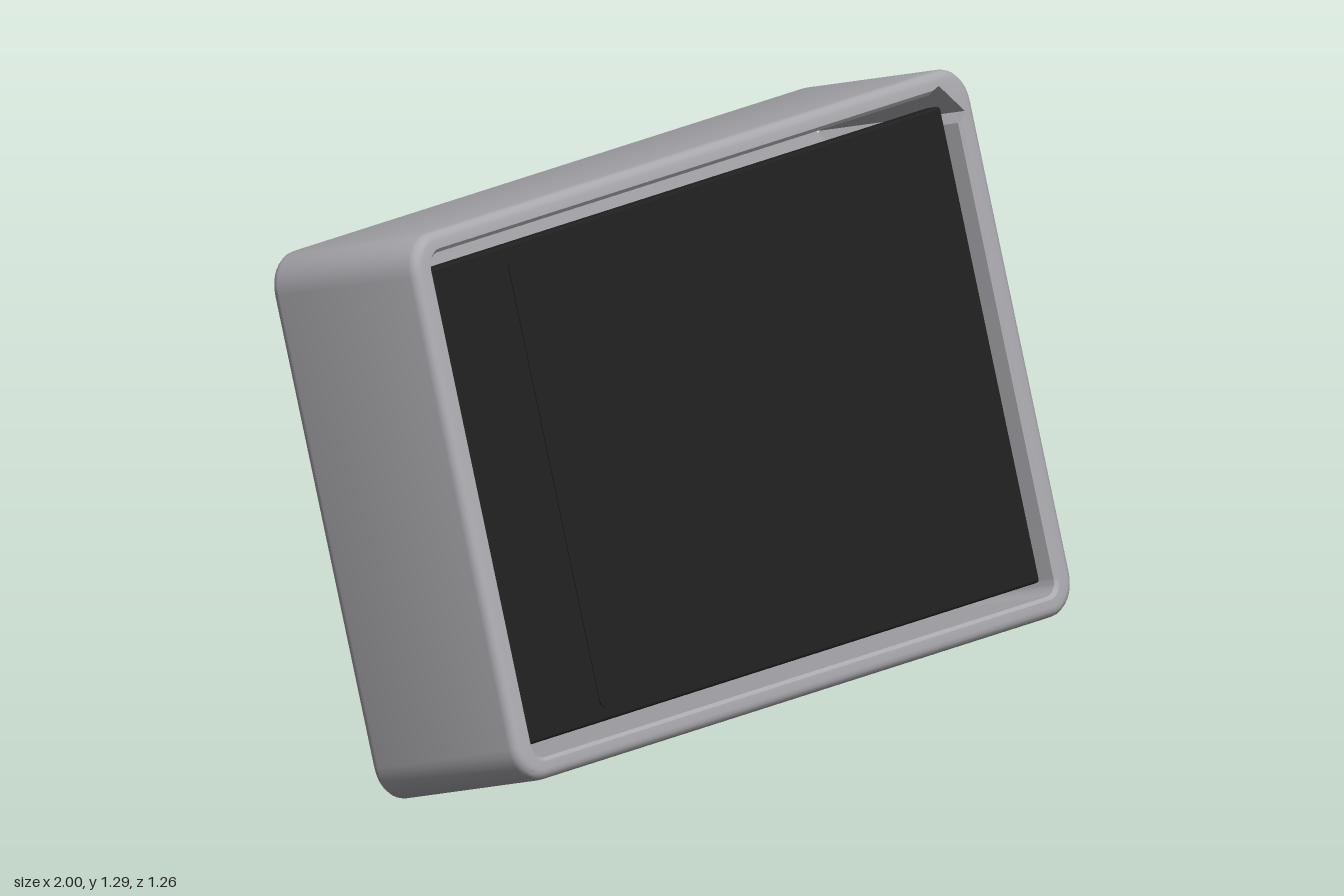
import * as THREE from 'three';
import { toCreasedNormals } from 'three/addons/utils/BufferGeometryUtils.js';
import { RoundedBoxGeometry } from 'three/addons/geometries/RoundedBoxGeometry.js';

const TILT = -Math.PI / 12;
const HW = 1, HH = 0.6175, HD = 0.21; // case half sizes
const NOTCH_A = [0.962, 0.514], NOTCH_B = [0.884, 0.592]; // outer corners of the diagonal slot

const mat = (name, color, side = THREE.FrontSide) => {
  const m = new THREE.MeshStandardMaterial({ color, side });
  m.name = name;
  return m;
};

// Counter-clockwise rounded rectangle; optionally its +x +y corner becomes a diagonal notch
function ringPoints(hw, hh, r, notch = false, seg = 8) {
  const pts = [];
  [[1, 1], [-1, 1], [-1, -1], [1, -1]].forEach(([sx, sy], q) => {
    for (let i = 0; i <= seg; i++) {
      if (notch && q === 0) {
        const t = (i - 1) / (seg - 2);
        if (i === 0) pts.push([hw, NOTCH_A[1] - (NOTCH_A[0] - hw)]);
        else if (i === seg) pts.push([NOTCH_B[0] - (NOTCH_B[1] - hh), hh]);
        else pts.push([0, 1].map(k => NOTCH_A[k] + (NOTCH_B[k] - NOTCH_A[k]) * t));
      } else {
        const a = (q + i / seg) * Math.PI / 2;
        pts.push([sx * (hw - r) + r * Math.cos(a), sy * (hh - r) + r * Math.sin(a)]);
      }
    }
  });
  return pts;
}

// Skin through rings of equal point count, each { pts, z }
function loft(rings) {
  const n = rings[0].pts.length, pos = [], idx = [];
  rings.forEach(({ pts, z }) => pts.forEach(([x, y]) => pos.push(x, y, z)));
  for (let i = 0; i < rings.length - 1; i++) {
    for (let j = 0; j < n; j++) {
      const a = i * n + j, b = i * n + (j + 1) % n;
      idx.push(a, b, b + n, a, b + n, a + n);
    }
  }
  const g = new THREE.BufferGeometry();
  g.setAttribute('position', new THREE.Float32BufferAttribute(pos, 3));
  g.setIndex(idx);
  return toCreasedNormals(g, 0.6);
}

const toVectors = pts => pts.map(([x, y]) => new THREE.Vector2(x, y));
const roundedShape = (hw, hh, r) => new THREE.Shape(toVectors(ringPoints(hw, hh, r)));
const extrude = (shape, depth) => new THREE.ExtrudeGeometry(shape, { depth, bevelEnabled: false });

export function createModel() {
  const model = new THREE.Group();
  const grey = mat('case grey', 0xa9a9ae);
  const black = mat('screen black', 0x202020);
  const orange = mat('stand orange', 0xd6532f);

  const add = (parent, name, geometry, material, x = 0, y = 0, z = 0) => {
    const m = new THREE.Mesh(geometry, material);
    m.name = name;
    m.position.set(x, y, z);
    parent.add(m);
    return m;
  };

  // Tilted body holding everything but the stand
  const body = new THREE.Group();
  body.name = 'body';
  body.position.set(0, 0.65, 0.27);
  body.rotation.x = TILT;
  model.add(body);

  // Case shell: rounded outer edges, front rim and inner wall
  const rings = [], B = 0.022, STEPS = 4;
  const outer = (inset, z) => rings.push({ pts: ringPoints(HW - inset, HH - inset, 0.085 - inset), z });
  const inner = (grow, z) => rings.push({ pts: ringPoints(0.94 + grow, 0.57 + grow, 0.035 + grow, true), z });
  for (const end of [-1, 1]) {
    for (let i = 0; i <= STEPS; i++) {
      const a = (end < 0 ? i : STEPS - i) / STEPS * Math.PI / 2;
      outer(B * (1 - Math.sin(a)), end * (HD - B + B * Math.cos(a)));
    }
  }
  inner(0.008, HD);
  inner(0, HD - 0.008);
  inner(0, -0.15);
  add(body, 'caseShell', loft(rings), grey);

  // Back panel: an outer grooved layer over a plain layer, both pierced by the slot
  const slot = () => new THREE.Path(toVectors([
    NOTCH_A, NOTCH_B,
    [NOTCH_B[0] - 0.036, NOTCH_B[1] - 0.036],
    [NOTCH_A[0] - 0.036, NOTCH_A[1] - 0.036],
  ]));
  const groovedShape = roundedShape(HW - B, HH - B, 0.085 - B);
  groovedShape.holes.push(slot());
  const GROOVES = 23, PITCH = 0.045, GX = 0.86, GH = 0.012;
  for (let i = 0; i < GROOVES; i++) {
    const y = (i - (GROOVES - 1) / 2) * PITCH - 0.025;
    groovedShape.holes.push(new THREE.Path(toVectors([
      [-GX, y - GH], [-GX, y + GH], [GX, y + GH], [GX, y - GH],
    ])));
  }
  add(body, 'groovedBack', extrude(groovedShape, 0.02), grey, 0, 0, -HD);
  const plainShape = roundedShape(HW - B, HH - B, 0.085 - B);
  plainShape.holes.push(slot());
  add(body, 'backPanel', extrude(plainShape, 0.04), grey, 0, 0, -HD + 0.02);

  // Round mount on the back
  const disc = new THREE.CylinderGeometry(0.275, 0.275, 0.05, 64).rotateX(Math.PI / 2);
  add(body, 'mountDisc', disc, black, 0, 0, -0.194);

  // Screen, raised display area and the circuit board behind
  add(body, 'screen', new RoundedBoxGeometry(1.83, 1.075, 0.04, 2, 0.008), black, 0, 0, 0.165);
  add(body, 'displayArea', extrude(roundedShape(0.657, 0.508, 0.02), 0.006), black, 0, 0, 0.182);
  add(body, 'circuitBoard', new THREE.BoxGeometry(1.83, 1.065, 0.016), orange, 0, 0, 0.135);

  // Stand: hinge barrel and flat leg reaching backward
  const stand = new THREE.Group();
  stand.name = 'stand';
  stand.position.set(0, 0.795, -0.01);
  stand.rotation.x = -0.29;
  model.add(stand);
  add(stand, 'hingeBarrel', new THREE.CylinderGeometry(0.042, 0.042, 0.31, 32).rotateZ(Math.PI / 2), orange);
  const leg = toCreasedNormals(extrude(roundedShape(0.073, 0.024, 0.018), 0.638), 0.6);
  add(stand, 'standLeg', leg, orange, 0, 0, -0.638);

  return model;
}
